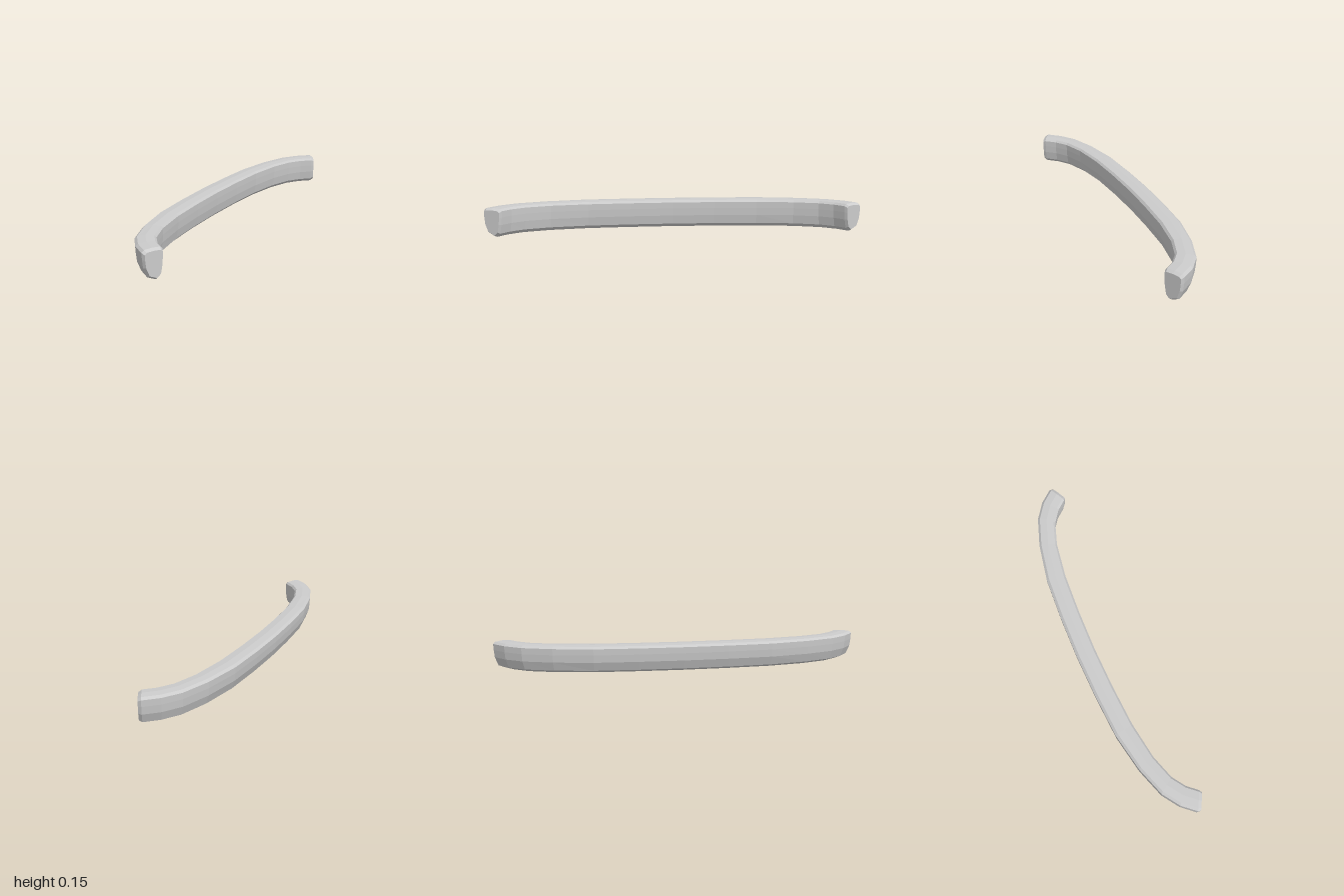
import * as THREE from 'three';

// Cross-section: [fraction from inner to outer edge, height], counterclockwise towards +z
const PROFILE = [
  [0.1, 0.149], [0.5, 0.152], [0.88, 0.149], [1, 0.138], [0.985, 0.105], [0.94, 0.065],
  [0.76, 0.018], [0.42, 0.002], [0.32, 0], [0.13, 0.018], [0.04, 0.065], [0.01, 0.105], [0, 0.138],
];

// Half of the sweep: [inner x, inner z, outer x, outer z]
const STATIONS = [
  [-0.048, 0, -0.153, 0],
  [-0.043, 0.23, -0.148, 0.24],
  [-0.03, 0.46, -0.134, 0.48],
  [0, 0.66, -0.094, 0.69],
  [0.042, 0.79, -0.04, 0.85],
  [0.09, 0.86, 0.022, 0.94],
  [0.142, 0.905, 0.092, 1],
];

function ring([ix, iz, ox, oz], inset = 1, bulge = 0) {
  const across = new THREE.Vector2(ox - ix, oz - iz);
  const out = new THREE.Vector2(across.y, -across.x).normalize().multiplyScalar(bulge);
  return PROFILE.map(([s, y]) => {
    const t = 0.5 + (s - 0.5) * inset;
    return [ix + across.x * t + out.x, 0.08 + (y - 0.08) * inset, iz + across.y * t + out.y];
  });
}

function sweepGeometry() {
  const end = STATIONS[STATIONS.length - 1];
  const half = STATIONS.map((s) => ring(s));
  half.push(ring(end, 0.86, 0.016)); // softly bevelled end face
  const mirrored = half.slice(1).reverse().map((r) => r.map(([x, y, z]) => [x, y, -z]));
  const rings = [...mirrored, ...half];
  const n = PROFILE.length;
  const index = [];
  for (let i = 0; i < rings.length - 1; i++) {
    for (let j = 0; j < n; j++) {
      const k = (j + 1) % n;
      const a = i * n + j, b = i * n + k, c = b + n, d = a + n;
      index.push(a, b, c, a, c, d);
    }
  }
  // Close both ends
  const last = (rings.length - 1) * n;
  for (let j = 1; j < n - 1; j++) {
    index.push(0, j + 1, j);
    index.push(last, last + j, last + j + 1);
  }
  const g = new THREE.BufferGeometry();
  g.setAttribute('position', new THREE.Float32BufferAttribute(rings.flat(2), 3));
  g.setIndex(index);
  const flat = g.toNonIndexed();
  flat.computeVertexNormals();
  return flat;
}

export function createModel() {
  const group = new THREE.Group();
  group.name = 'curvedBar';
  const bar = new THREE.Mesh(
    sweepGeometry(),
    new THREE.MeshStandardMaterial({ color: 0xcccccc, flatShading: true }),
  );
  bar.name = 'bar';
  group.add(bar);
  return group;
}
